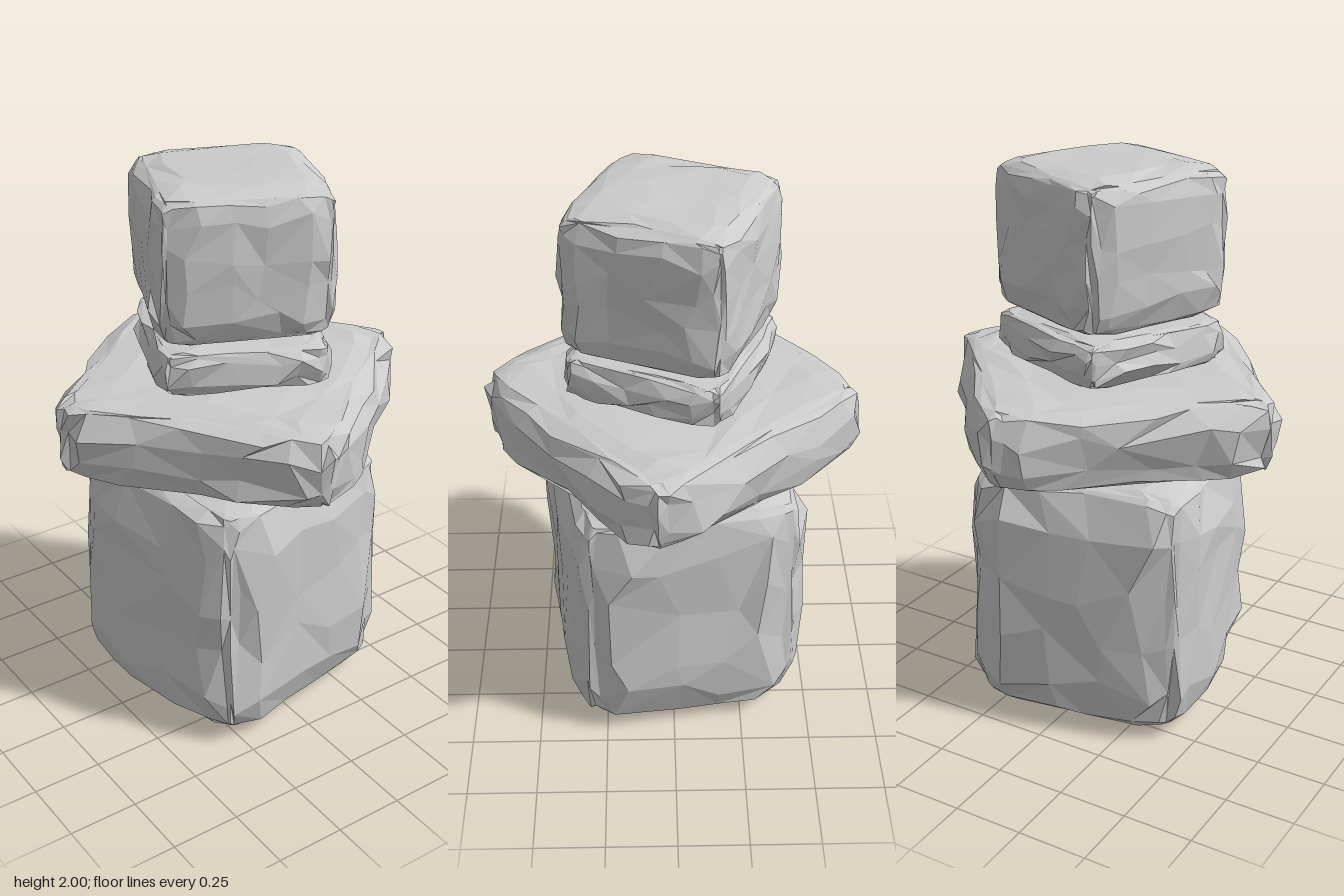
import * as THREE from 'three';
import { mergeVertices } from 'three/addons/utils/BufferGeometryUtils.js';

// Small seeded random generator, returns -1..1
function makeRandom(seed) {
  let s = seed;
  return () => {
    s = (s * 16807) % 2147483647;
    return (s / 2147483647) * 2 - 1;
  };
}

// Rough-hewn block: a box with rounded edges whose vertices are knocked about.
// half = half width, y0..y1 = height range, rh / rv = edge radii, seg = divisions
function roughStone({ name, half, y0, y1, rh, rv, seg, segY, turn, rough, seed }) {
  const random = makeRandom(seed);
  const size = new THREE.Vector3(half, (y1 - y0) / 2, half);
  const radius = new THREE.Vector3(rh, rv, rh);
  const inner = size.clone().sub(radius);

  let geometry = new THREE.BoxGeometry(2, 2, 2, seg, segY, seg);
  geometry.deleteAttribute('normal');
  geometry.deleteAttribute('uv');
  geometry = mergeVertices(geometry);

  // flip the diagonal of random quads (a,b,d, b,c,d -> a,b,c, a,c,d)
  const index = geometry.index;
  for (let q = 0; q < index.count; q += 6) {
    if (random() > 0) {
      index.setX(q + 2, index.getX(q + 4));
      index.setX(q + 3, index.getX(q));
    }
  }

  const pos = geometry.attributes.position;
  const p = new THREE.Vector3();
  const core = new THREE.Vector3();
  const slide = { x: 0.65 / seg, y: 0.65 / segY, z: 0.65 / seg };
  for (let i = 0; i < pos.count; i++) {
    p.fromBufferAttribute(pos, i);
    // slide points along the faces, then crowd them towards the edges
    for (const axis of ['x', 'y', 'z']) {
      const inside = Math.abs(p[axis]) < 0.999;
      if (inside) p[axis] += random() * slide[axis];
      p[axis] = Math.sin(p[axis] * Math.PI / 2) * size[axis];
    }
    // round the edges and corners
    core.copy(p).clamp(inner.clone().negate(), inner);
    const normal = p.clone().sub(core).divide(radius).normalize();
    p.copy(core).add(normal.clone().multiply(radius));
    // chip the surface in and out, only inwards on the bedding faces
    const chip = random() * rough;
    p.x += normal.x * chip;
    p.z += normal.z * chip;
    p.y -= normal.y * Math.abs(chip) * 0.6;
    pos.setXYZ(i, p.x, p.y, p.z);
  }
  geometry.computeVertexNormals();

  const stone = new THREE.Mesh(
    geometry,
    new THREE.MeshStandardMaterial({ color: 0xcccccc, flatShading: true })
  );
  stone.name = name;
  stone.position.y = (y0 + y1) / 2;
  stone.rotation.y = THREE.MathUtils.degToRad(turn);
  return stone;
}

export function createModel() {
  const model = new THREE.Group();
  model.name = 'stackedStones';
  const stones = [
    // tall block at the bottom
    { name: 'baseStone', half: 0.44, y0: 0, y1: 0.985, rh: 0.23, rv: 0.14, seg: 7, segY: 7, turn: 10, rough: 0.016, seed: 11 },
    // wide flat slab
    { name: 'slabStone', half: 0.52, y0: 0.985, y1: 1.295, rh: 0.2, rv: 0.06, seg: 8, segY: 5, turn: -50, rough: 0.022, seed: 23 },
    // thin collar under the head
    { name: 'neckStone', half: 0.305, y0: 1.29, y1: 1.465, rh: 0.11, rv: 0.04, seg: 7, segY: 5, turn: -23, rough: 0.016, seed: 37 },
    // cube-like block on top
    { name: 'headStone', half: 0.31, y0: 1.465, y1: 2, rh: 0.11, rv: 0.08, seg: 7, segY: 7, turn: -23, rough: 0.012, seed: 53 }
  ];
  for (const s of stones) model.add(roughStone(s));
  return model;
}
